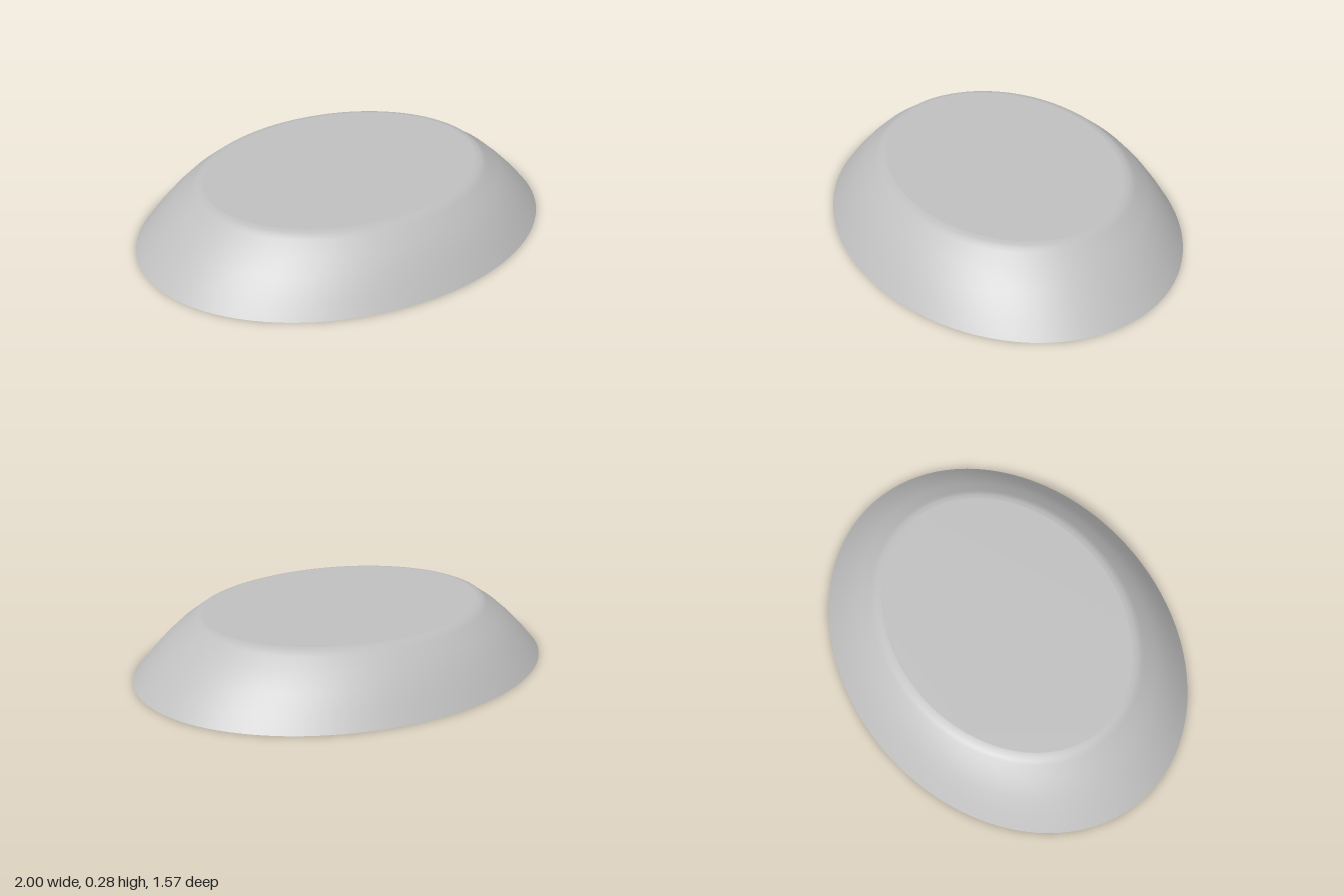
import * as THREE from 'three';
import { toCreasedNormals } from 'three/addons/utils/BufferGeometryUtils.js';

const SEGMENTS = 96;
const HEIGHT = 0.275;
// Elliptical rings from the base edge to the flat top: [half width, half depth, height]
const RINGS = [
  [1, 0.785, 0],
  [0.936, 0.739, 0.073],
  [0.863, 0.687, 0.145],
  [0.793, 0.632, 0.206],
  [0.722, 0.574, 0.254],
  [0.708, 0.559, 0.265],
  [0.692, 0.541, 0.272],
  [0.672, 0.522, HEIGHT],
];
// Round pockets in the underside: [x, z], mirrored across x
const POCKETS = [[0.672, -0.139], [0.522, 0.367]];
const POCKET_RADIUS = 0.108;
const POCKET_DEPTH = 0.105;

// Sloping, softly rounded side wall: a lathe squeezed ring by ring in depth
function wallGeometry() {
  const profile = RINGS.map(([w, , y]) => new THREE.Vector2(w, y));
  const geometry = new THREE.LatheGeometry(profile, SEGMENTS);
  const position = geometry.attributes.position;
  for (let i = 0; i < position.count; i++) {
    const [w, d] = RINGS[i % RINGS.length];
    position.setZ(i, position.getZ(i) * d / w);
  }
  return toCreasedNormals(geometry, Math.PI / 6);
}

function ellipse(w, d) {
  const shape = new THREE.Shape();
  shape.absellipse(0, 0, w, d, 0, Math.PI * 2, false);
  return shape;
}

export function createModel() {
  const model = new THREE.Group();
  model.name = 'ovalBase';
  const grey = new THREE.MeshStandardMaterial({ color: 0xbfbfbf });
  grey.name = 'light grey';

  const add = (name, geometry) => {
    const mesh = new THREE.Mesh(geometry, grey);
    mesh.name = name;
    model.add(mesh);
    return mesh;
  };

  add('sideWall', wallGeometry());

  // Flat top
  const [topW, topD] = RINGS[RINGS.length - 1];
  const top = new THREE.ShapeGeometry(ellipse(topW, topD), SEGMENTS);
  add('topFace', top.rotateX(-Math.PI / 2).translate(0, HEIGHT, 0));

  // Flat underside with pocket openings
  const under = ellipse(RINGS[0][0], RINGS[0][1]);
  const centres = POCKETS.flatMap(([x, z]) => [[x, z], [-x, z]]);
  for (const [x, z] of centres) {
    const hole = new THREE.Path();
    hole.absarc(x, z, POCKET_RADIUS, 0, Math.PI * 2, true);
    under.holes.push(hole);
  }
  add('underside', new THREE.ShapeGeometry(under, SEGMENTS).rotateX(Math.PI / 2));

  // Blind pockets, facing inward
  const pocket = toCreasedNormals(new THREE.LatheGeometry([
    new THREE.Vector2(0, POCKET_DEPTH),
    new THREE.Vector2(POCKET_RADIUS, POCKET_DEPTH),
    new THREE.Vector2(POCKET_RADIUS, 0),
  ], 48), Math.PI / 6);
  for (const [x, z] of centres) add('magnetPocket', pocket).position.set(x, 0, z);

  return model;
}
